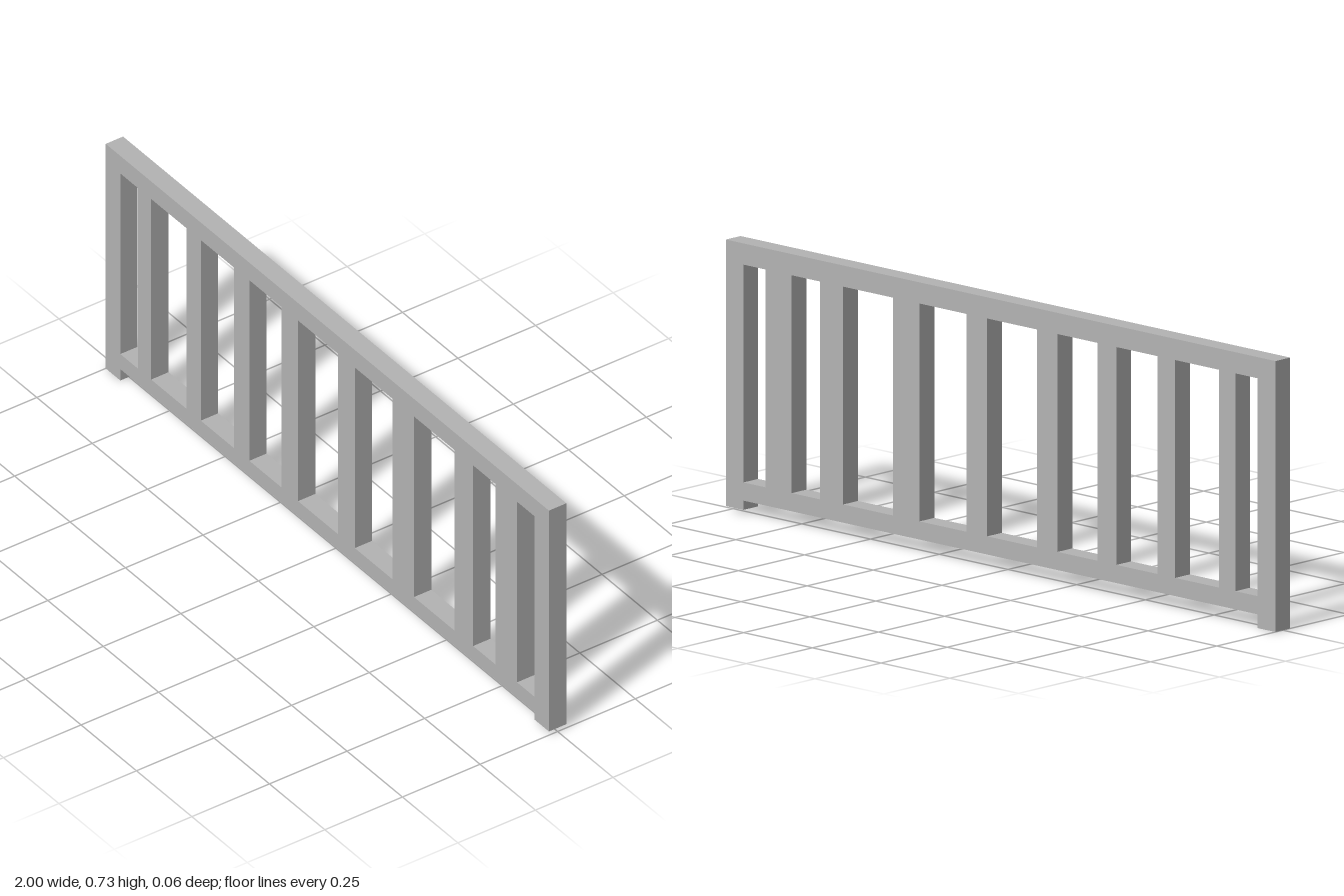
import * as THREE from 'three';

const DEPTH = 0.056;
const TOP = 0.73;
const RAIL_BOTTOM = 0.037;      // underside of the bottom rail
const OPEN_BOTTOM = 0.086;      // top of the bottom rail
const OPEN_TOP = 0.673;         // underside of the top rail

// Left and right edge of each gap between the uprights
const GAPS = [
  [-0.934, -0.854], [-0.795, -0.635], [-0.571, -0.421],
  [-0.352, -0.207], [-0.132, 0.049], [0.124, 0.295],
  [0.391, 0.573], [0.658, 0.76], [0.856, 0.936],
];

const polygon = (points) => points.map(([x, y]) => new THREE.Vector2(x, y));

export function createModel() {
  const grey = new THREE.MeshStandardMaterial({ color: 0xb4b4b4 });
  grey.name = 'grey';

  // Frame outline with a short foot under each end post
  const outline = new THREE.Shape(polygon([
    [-1, 0], [-0.934, 0], [-0.934, RAIL_BOTTOM],
    [0.936, RAIL_BOTTOM], [0.936, 0.012], [1, 0.012],
    [1, TOP], [-1, TOP],
  ]));

  // Openings between the uprights
  for (const [left, right] of GAPS) {
    outline.holes.push(new THREE.Path(polygon([
      [left, OPEN_BOTTOM], [left, OPEN_TOP],
      [right, OPEN_TOP], [right, OPEN_BOTTOM],
    ])));
  }

  const geometry = new THREE.ExtrudeGeometry(outline, { depth: DEPTH, bevelEnabled: false });
  geometry.translate(0, 0, -DEPTH / 2);

  const panel = new THREE.Mesh(geometry, grey);
  panel.name = 'railingPanel';

  const model = new THREE.Group();
  model.name = 'railing';
  model.add(panel);
  return model;
}
